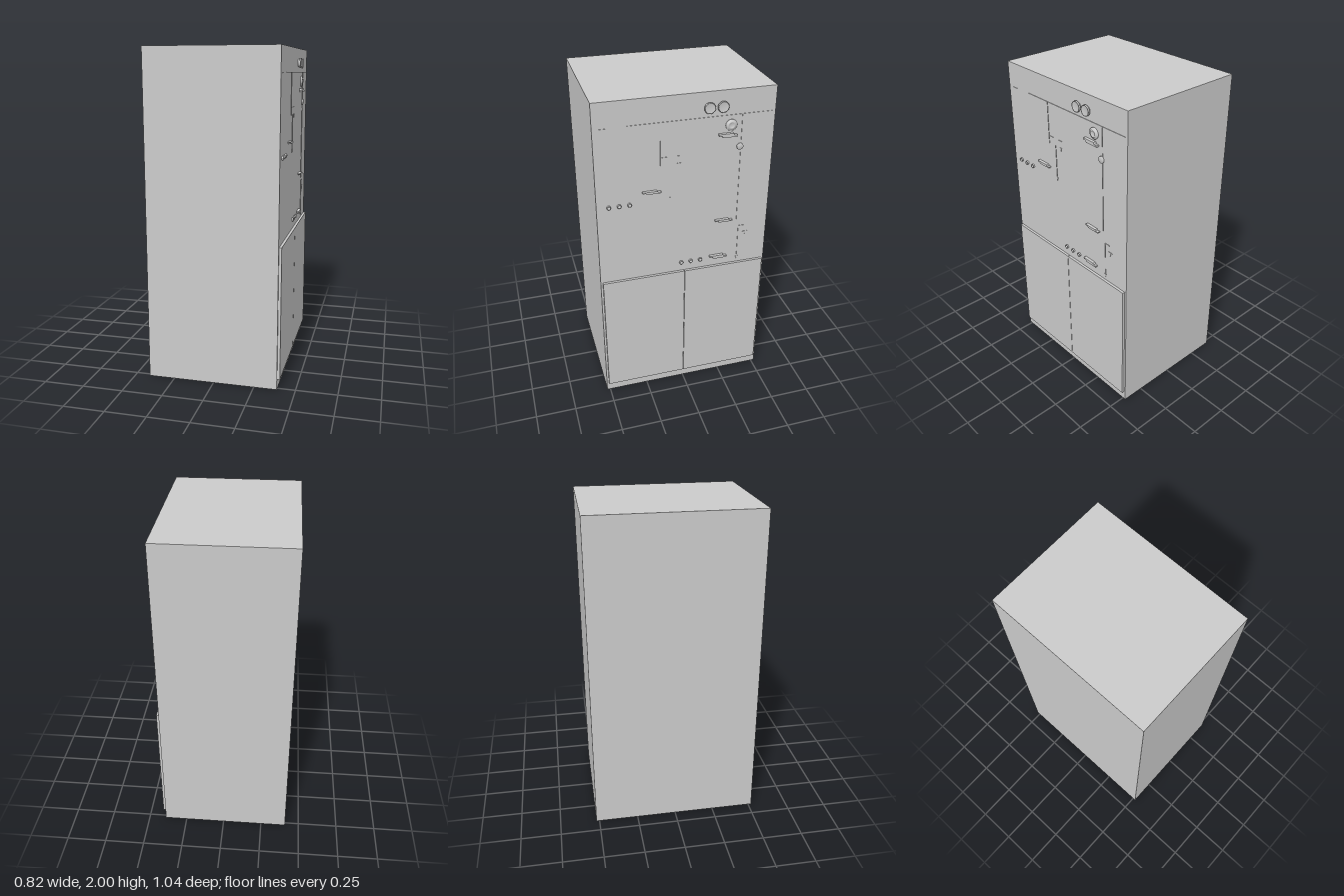
import * as THREE from 'three';

export function createModel() {
  const model = new THREE.Group();
  const mat = new THREE.MeshStandardMaterial({ color: 0xcccccc, side: THREE.DoubleSide });

  const add = (parent, name, geo, x, y, z) => {
    const mesh = new THREE.Mesh(geo, mat);
    mesh.name = name;
    mesh.position.set(x, y, z);
    parent.add(mesh);
    return mesh;
  };

  // Cabinet body
  add(model, 'cabinet', new THREE.BoxGeometry(0.8, 2, 1.04), -0.01, 1, 0);

  // Control face on the +x side: local x runs towards -z, local z points outwards
  const panel = new THREE.Group();
  panel.name = 'controlPanel';
  panel.position.x = 0.39;
  panel.rotation.y = Math.PI / 2;
  model.add(panel);

  // Pair of lower doors
  for (const side of [-1, 1])
    add(panel, 'door', new THREE.BoxGeometry(0.506, 0.81, 0.016), side * 0.2545, 0.465, 0.008);

  // Round fittings, turned from a radius/depth profile
  const dial = (name, u, v, profile, segments = 32) => {
    const points = profile.map(([r, d]) => new THREE.Vector2(r, d));
    const geo = new THREE.LatheGeometry(points, segments).rotateX(Math.PI / 2);
    return add(panel, name, geo, u, v, 0);
  };
  const gaugeProfile = [[0.024, 0], [0.024, 0.006], [0.032, 0.008], [0.032, 0.018],
    [0.027, 0.018], [0.025, 0.014], [0, 0.014]];
  for (const u of [0.128, 0.205]) dial('gauge', u, 1.91, gaugeProfile);
  dial('selectorSwitch', 0.26, 1.795, [[0.033, 0], [0.033, 0.006], [0.022, 0.008],
    [0.022, 0.012], [0.014, 0.012], [0.014, 0.008], [0, 0.008]]);
  dial('pushButton', 0.318, 1.66, [[0.02, 0], [0.02, 0.008], [0, 0.008]], 10);

  // Stepped lever handles: [start, centre height, thickness]
  for (const [u, v, h] of [[0.187, 1.739, 0.022], [-0.255, 1.443, 0.015],
    [0.185, 1.19, 0.015], [0.16, 0.937, 0.02]]) {
    const a = h / 2;
    const shape = new THREE.Shape([[0, a], [0.085, a], [0.09, 0], [0.108, 0], [0.108, -a],
      [0.022, -a], [0.018, 0], [0, 0]].map(([x, y]) => new THREE.Vector2(x, y)));
    add(panel, 'handle', new THREE.ExtrudeGeometry(shape, { depth: 0.018, bevelEnabled: false }), u, v, 0);
  }

  // Rows of small indicator cups
  const cup = [[0.012, 0], [0.012, 0.009], [0.009, 0.009], [0.009, 0.003], [0, 0.003]];
  for (const [start, v] of [[-0.45, 1.378], [-0.02, 0.93]])
    for (let i = 0; i < 3; i++) dial('indicator', start + i * 0.06, v, cup, 16);

  // Raised flow-diagram lines, each horizontal or vertical: [u0, v0, u1, v1]
  const lines = [
    [-0.33, 1.853, 0.5, 1.853], [-0.48, 1.85, -0.44, 1.85],
    [0.325, 1.853, 0.325, 1.15], [0.34, 1.13, 0.34, 0.91],
    [-0.147, 1.853, -0.147, 1.6], [-0.088, 1.6, -0.088, 1.39],
    [-0.14, 1.645, -0.11, 1.645], [-0.06, 1.645, -0.03, 1.645], [-0.05, 1.6, -0.03, 1.6],
    [0.345, 1.13, 0.375, 1.13], [0.37, 1.085, 0.4, 1.085],
  ];
  const t = 0.003;
  for (const [u0, v0, u1, v1] of lines)
    add(panel, 'diagramLine', new THREE.BoxGeometry(u1 - u0 + t, v0 - v1 + t, 0.003),
      (u0 + u1) / 2, (v0 + v1) / 2, 0.0015);

  // Flow arrows at the ends of the diagram lines
  for (const [u, v] of [[-0.088, 1.38], [0.34, 0.9], [-0.04, 1.59], [0.385, 1.075]]) {
    const arrow = new THREE.Shape([new THREE.Vector2(-0.008, 0.012),
      new THREE.Vector2(0, -0.012), new THREE.Vector2(0.008, 0.012)]);
    add(panel, 'flowArrow', new THREE.ExtrudeGeometry(arrow, { depth: 0.003, bevelEnabled: false }), u, v, 0);
  }

  return model;
}
